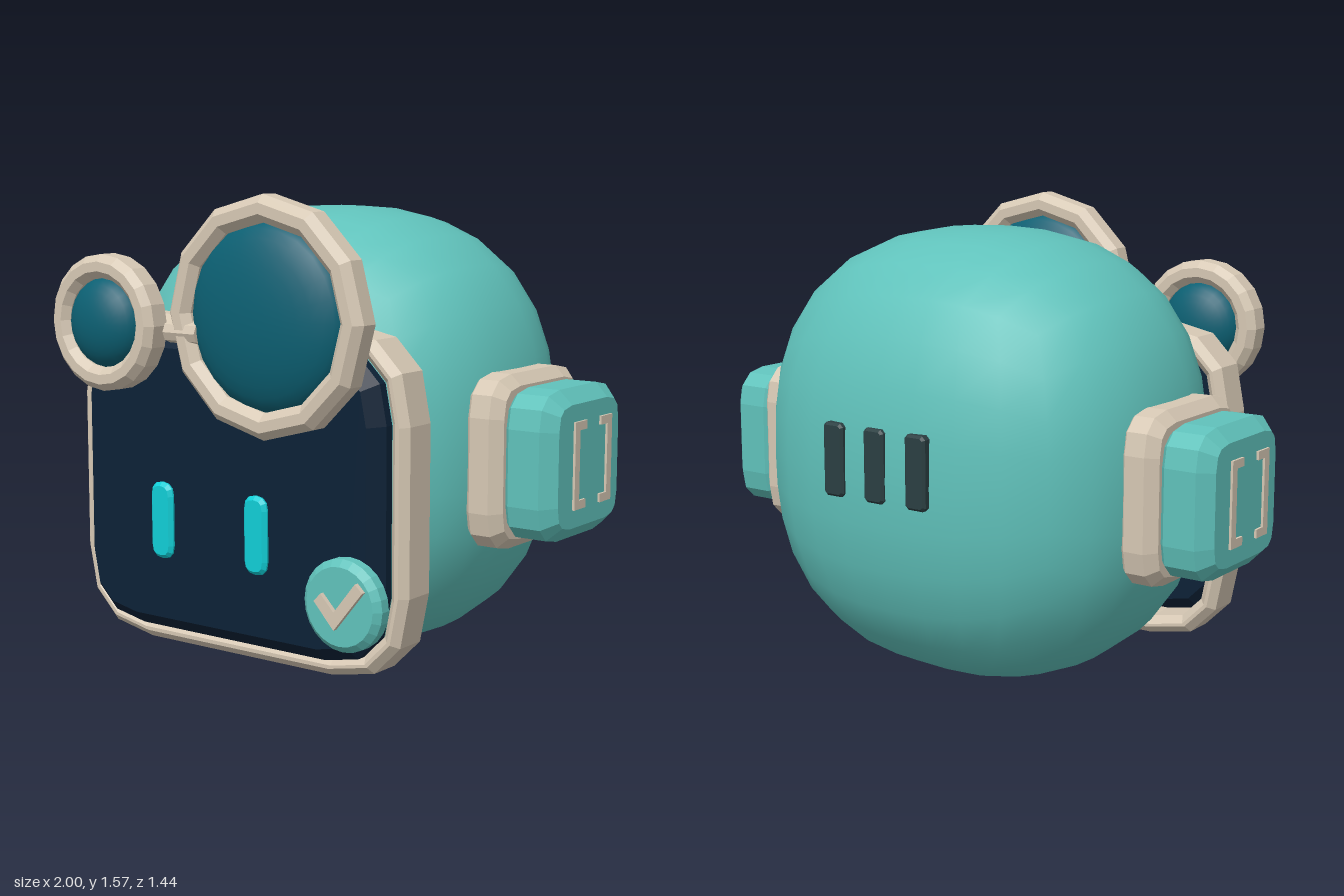
import * as THREE from 'three';
import { mergeVertices } from 'three/addons/utils/BufferGeometryUtils.js';

const mat = (name, color, extra = {}) => Object.assign(new THREE.MeshStandardMaterial({ color, ...extra }), { name });

// Rounded rectangle outline centred on the origin
function roundRect(w, h, r, Type = THREE.Shape) {
  const s = new Type(), x = w / 2, y = h / 2;
  s.moveTo(-x + r, -y);
  s.lineTo(x - r, -y); s.quadraticCurveTo(x, -y, x, -y + r);
  s.lineTo(x, y - r); s.quadraticCurveTo(x, y, x - r, y);
  s.lineTo(-x + r, y); s.quadraticCurveTo(-x, y, -x, y - r);
  s.lineTo(-x, -y + r); s.quadraticCurveTo(-x, -y, -x + r, -y);
  return s;
}

// Chamfered plate, centred in depth, total depth d
function plate(shape, d, bevel, curveSegments = 3) {
  return new THREE.ExtrudeGeometry(shape, {
    depth: d - 2 * bevel, bevelEnabled: bevel > 0, bevelThickness: bevel, bevelSize: bevel,
    bevelOffset: -bevel, bevelSegments: 1, curveSegments,
  }).translate(0, 0, -d / 2 + bevel);
}

// Smooth, slightly squared ellipsoid made from a projected cube
function headGeometry(rx, ry, rz, power) {
  let g = new THREE.BoxGeometry(2, 2, 2, 8, 8, 8);
  g.deleteAttribute('uv');
  g.deleteAttribute('normal');
  g = mergeVertices(g);
  const p = g.attributes.position, v = new THREE.Vector3();
  for (let i = 0; i < p.count; i++) {
    v.fromBufferAttribute(p, i);
    v.set(...v.toArray().map(c => Math.tan(c * Math.PI / 4)));
    const n = v.toArray().reduce((a, c) => a + Math.abs(c) ** power, 0) ** (1 / power);
    p.setXYZ(i, v.x / n * rx, v.y / n * ry, v.z / n * rz);
  }
  g.computeVertexNormals();
  return g;
}

export function createModel() {
  const group = new THREE.Group();
  const teal = mat('teal shell', 0x60c2bb);
  const beige = mat('beige trim', 0xd6c8b4);
  const beigeFlat = beige;
  beigeFlat.flatShading = true;
  const navy = mat('navy visor', 0x0c2136);
  const lensBlue = mat('lens blue', 0x0c6073);
  const cyan = mat('cyan light', 0x10ced6);
  const dark = mat('dark vent', 0x2b3f42);

  const add = (name, geometry, material, x = 0, y = 0, z = 0, parent = group) => {
    const m = new THREE.Mesh(geometry, material);
    m.name = name;
    m.position.set(x, y, z);
    parent.add(m);
    return m;
  };

  // Head shell
  add('head', headGeometry(0.74, 0.757, 0.61, 2.45), teal, 0, 0.757, -0.1);

  // Face: open frame and the visor set into it
  const frame = roundRect(1.35, 1.115, 0.29);
  frame.holes.push(roundRect(1.22, 0.99, 0.22, THREE.Path));
  add('visorFrame', plate(frame, 0.16, 0.025), beige, 0, 0.607, 0.415);
  add('visor', plate(roundRect(1.23, 1.0, 0.23), 0.12, 0.045), navy, 0, 0.607, 0.495);

  // Upright glowing eyes
  for (const s of [-1, 1])
    add(s > 0 ? 'leftEye' : 'rightEye', plate(roundRect(0.092, 0.255, 0.045), 0.03, 0.012), cyan, s * 0.195, 0.505, 0.62);

  // Badge with a tick
  const disc = new THREE.LatheGeometry(
    [[0, 0], [0.125, 0], [0.147, 0.02], [0.147, 0.055], [0.125, 0.075], [0, 0.075]].map(p => new THREE.Vector2(...p)), 24)
    .toNonIndexed().rotateX(Math.PI / 2);
  disc.computeVertexNormals();
  add('badge', disc, teal, 0.525, 0.327, 0.555);
  const tick = new THREE.Shape([[-0.085, 0.01], [-0.06, 0.037], [-0.01, -0.015], [0.07, 0.085],
    [0.097, 0.06], [-0.01, -0.072]].map(p => new THREE.Vector2(...p)));
  add('badgeTick', plate(tick, 0.016, 0), beige, 0.525, 0.327, 0.638);

  // Goggles: chamfered ring with a domed lens
  const goggle = (name, x, y, z, outer, inner, sides, depth, dome) => {
    const g = new THREE.Group();
    g.name = name;
    g.position.set(x, y, z);
    group.add(g);
    const b = (outer - inner) * 0.3, h = depth / 2;
    const profile = [[inner, -h + b], [inner + b, -h], [outer - b, -h], [outer, -h + b],
      [outer, h - b], [outer - b, h], [inner + b, h], [inner, h - b], [inner, -h + b]];
    const ring = new THREE.LatheGeometry(profile.map(p => new THREE.Vector2(...p)), sides).rotateX(Math.PI / 2);
    add('goggleRing', ring, beige, 0, 0, 0, g);
    const lens = new THREE.SphereGeometry(inner + 0.005, 24, 16).rotateX(Math.PI / 2).scale(1, 1, dome / (inner + 0.005));
    add('goggleLens', lens, lensBlue, 0, 0, 0, g);
  };
  goggle('largeGoggle', 0.255, 1.195, 0.625, 0.378, 0.292, 12, 0.11, 0.097);
  goggle('smallGoggle', -0.43, 1.14, 0.61, 0.226, 0.147, 20, 0.11, 0.09);
  const bridge = new THREE.CylinderGeometry(0.036, 0.036, 0.13, 8).rotateZ(Math.PI / 2);
  add('goggleBridge', bridge, beige, -0.065, 1.132, 0.648);

  // Ear pads with square bracket inlays, mirrored
  const bracket = new THREE.Shape([[0, -0.14], [0.073, -0.14], [0.073, -0.112], [0.03, -0.112],
    [0.03, 0.112], [0.073, 0.112], [0.073, 0.14], [0, 0.14]].map(p => new THREE.Vector2(...p)));
  for (const s of [-1, 1]) {
    const ear = new THREE.Group();
    ear.name = s > 0 ? 'leftEar' : 'rightEar';
    ear.position.set(0, 0.72, -0.09);
    ear.rotation.y = s * Math.PI / 2;
    group.add(ear);
    add('earCushion', plate(roundRect(0.545, 0.565, 0.13), 0.14, 0.035), beige, 0, 0, 0.74, ear);
    add('earBlock', plate(roundRect(0.48, 0.485, 0.12), 0.2, 0.045), teal, 0, 0, 0.882, ear);
    for (const t of [-1, 1]) {
      const mark = add('earBracket', plate(bracket, 0.008, 0), beige, t * 0.12, 0.005, 0.995, ear);
      if (t > 0) mark.rotation.z = Math.PI;
    }
  }

  // Back vents
  for (const x of [-0.165, 0, 0.165])
    add('backVent', plate(roundRect(0.08, 0.24, 0.012), 0.05, 0.008, 1), dark, x, 0.81, -0.695);

  return group;
}
